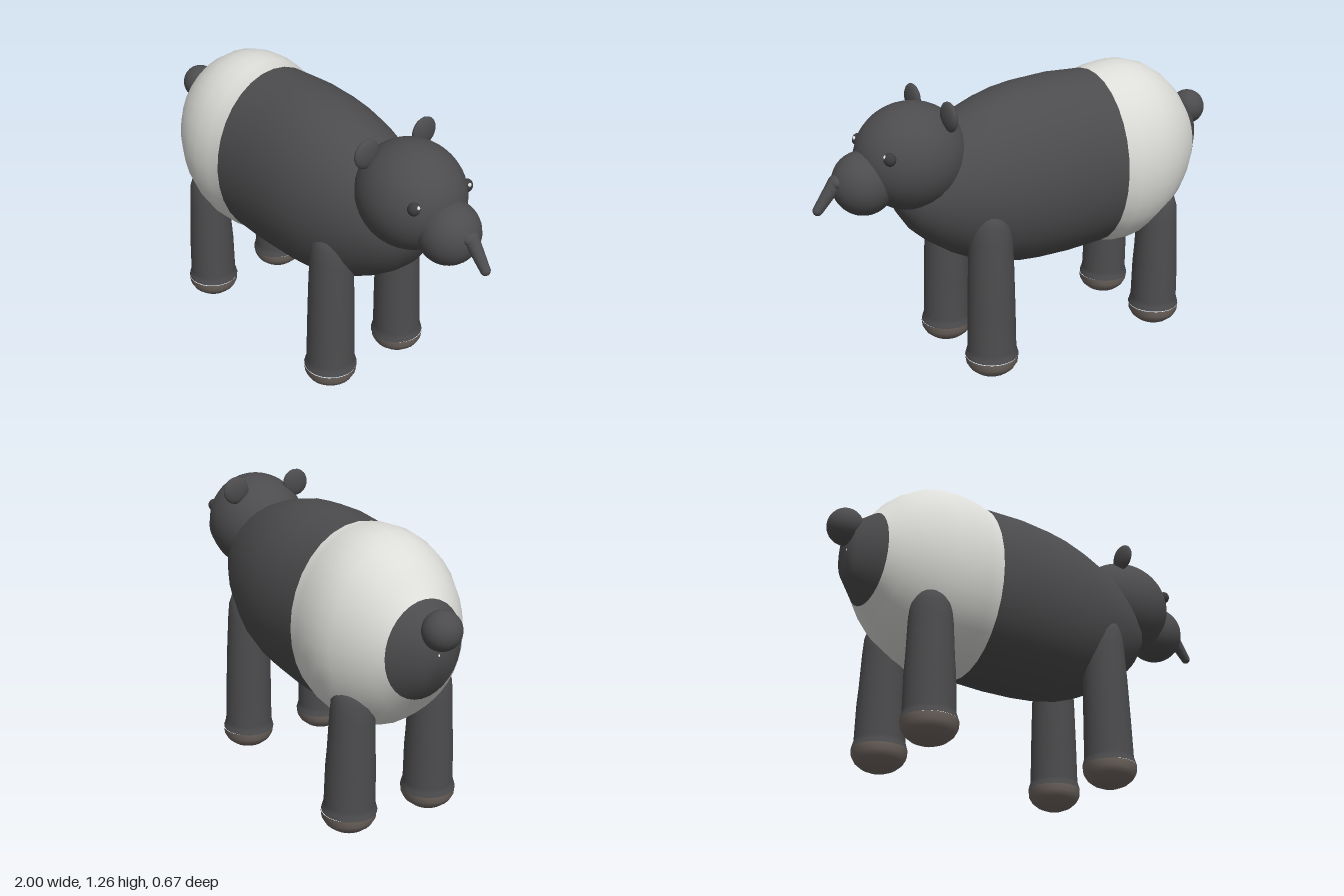
import * as THREE from 'three';

const mat = (name, color) => {
  const m = new THREE.MeshStandardMaterial({ color });
  m.name = name;
  return m;
};

export function createModel() {
  const hide = mat('darkHide', 0x4c4c4e);
  const white = mat('whiteSaddle', 0xdcdcd8);
  const hoofMat = mat('hoofBrown', 0x6f6660);
  const eyeMat = mat('eyeDark', 0x3c3c3f);
  const glintMat = mat('eyeGlint', 0xf2f2f2);

  const model = new THREE.Group();
  model.name = 'tapir';

  const add = (name, geometry, material, parent = model) => {
    const mesh = new THREE.Mesh(geometry, material);
    mesh.name = name;
    parent.add(mesh);
    return mesh;
  };
  const ball = (name, material, pos, radii, seg = 24) => {
    const mesh = add(name, new THREE.SphereGeometry(1, seg, Math.ceil(seg * 0.7)), material);
    mesh.position.set(...pos);
    mesh.scale.set(...radii);
    return mesh;
  };

  // Body: elliptical rings along x, each [x, top, bottom, half width]
  const rings = [
    [-0.91, 0.86, 0.85, 0.004], [-0.905, 0.98, 0.72, 0.08], [-0.81, 1.05, 0.635, 0.18],
    [-0.76, 1.12, 0.565, 0.225], [-0.7, 1.175, 0.51, 0.268], [-0.62, 1.225, 0.45, 0.31],
    [-0.55, 1.247, 0.42, 0.328], [-0.48, 1.255, 0.407, 0.335], [-0.4, 1.248, 0.411, 0.33],
    [-0.335, 1.234, 0.425, 0.32], [-0.15, 1.245, 0.42, 0.325], [0, 1.238, 0.425, 0.32],
    [0.1, 1.225, 0.435, 0.312], [0.2, 1.2, 0.455, 0.295], [0.3, 1.165, 0.492, 0.268],
    [0.4, 1.12, 0.545, 0.232], [0.5, 1.06, 0.615, 0.185], [0.57, 1.0, 0.68, 0.14],
    [0.62, 0.95, 0.755, 0.09], [0.65, 0.88, 0.82, 0.03], [0.655, 0.855, 0.845, 0.003],
  ];
  const N = 32;
  const positions = [], index = [];
  rings.forEach(([x, top, bottom, half]) => {
    for (let j = 0; j < N; j++) {
      const a = (j / N) * Math.PI * 2;
      positions.push(x, (top + bottom) / 2 + Math.cos(a) * (top - bottom) / 2, Math.sin(a) * half);
    }
  });
  for (let i = 0; i < rings.length - 1; i++) {
    for (let j = 0; j < N; j++) {
      const a = i * N + j, b = i * N + (j + 1) % N;
      index.push(a, b, a + N, b, b + N, a + N);
    }
  }
  const body = new THREE.BufferGeometry();
  body.setAttribute('position', new THREE.Float32BufferAttribute(positions, 3));
  body.setIndex(index);
  body.computeVertexNormals();
  // Dark rump, white saddle (rings 2 to 9), dark front
  const band = N * 6;
  body.addGroup(0, 2 * band, 0);
  body.addGroup(2 * band, 7 * band, 1);
  body.addGroup(9 * band, (rings.length - 10) * band, 0);
  add('body', body, [hide, white]);

  // Tail, head and snout
  ball('tail', hide, [-0.922, 0.96, 0], [0.078, 0.08, 0.08]);
  ball('head', hide, [0.555, 1.01, 0], [0.24, 0.225, 0.217], 32);
  ball('snout', hide, [0.775, 0.935, 0], [0.13, 0.133, 0.13], 28);

  // Short trunk hanging from the snout
  const root = new THREE.Vector3(0.893, 0.963, 0), tip = new THREE.Vector3(0.978, 0.86, 0);
  const dir = tip.clone().sub(root);
  const trunk = add('trunk', new THREE.CylinderGeometry(0.021, 0.032, dir.length(), 14), hide);
  trunk.position.copy(root).add(tip).multiplyScalar(0.5);
  trunk.quaternion.setFromUnitVectors(new THREE.Vector3(0, 1, 0), dir.normalize());
  ball('trunkRoot', hide, root.toArray(), [0.03, 0.028, 0.04], 14);
  ball('trunkTip', hide, tip.toArray(), [0.021, 0.021, 0.021], 14);

  // Ears and eyes, mirrored
  for (const [side, s] of [['right', 1], ['left', -1]]) {
    ball(side + 'Ear', hide, [0.458, 1.198, s * 0.153], [0.022, 0.062, 0.062], 20);
    ball(side + 'Eye', eyeMat, [0.72, 1.067, s * 0.142], [0.026, 0.028, 0.026], 16);
    ball(side + 'EyeGlint', glintMat, [0.739, 1.078, s * 0.138], [0.008, 0.009, 0.009], 8);
  }

  // Legs with domed tops, flared cuffs and rounded hooves
  const lathe = (pts) => new THREE.LatheGeometry(pts.map(([r, y]) => new THREE.Vector2(r, y)), 24);
  const hoofGeo = lathe([[0, 0.004], [0.04, 0.009], [0.075, 0.024], [0.1, 0.045], [0.114, 0.07], [0.117, 0.1]]);
  const legGeo = (top) => lathe([
    [0.117, 0.1], [0.112, 0.118], [0.107, 0.135], [0.104, 0.3], [0.099, top - 0.3],
    [0.093, top - 0.15], [0.088, top - 0.08], [0.074, top - 0.035], [0.045, top - 0.007], [0, top],
  ]);
  for (const [end, x, top] of [['front', 0.3, 0.795], ['hind', -0.6, 0.675]]) {
    const geo = legGeo(top);
    for (const [side, s] of [['Right', 1], ['Left', -1]]) {
      const leg = new THREE.Group();
      leg.name = end + side + 'Leg';
      leg.position.set(x, 0, s * 0.199);
      add(end + side + 'Hoof', hoofGeo, hoofMat, leg);
      const shaft = add(end + side + 'Shaft', geo, hide, leg);
      shaft.rotation.set(-s * 0.015, 0, 0.012);
      model.add(leg);
    }
  }

  return model;
}
